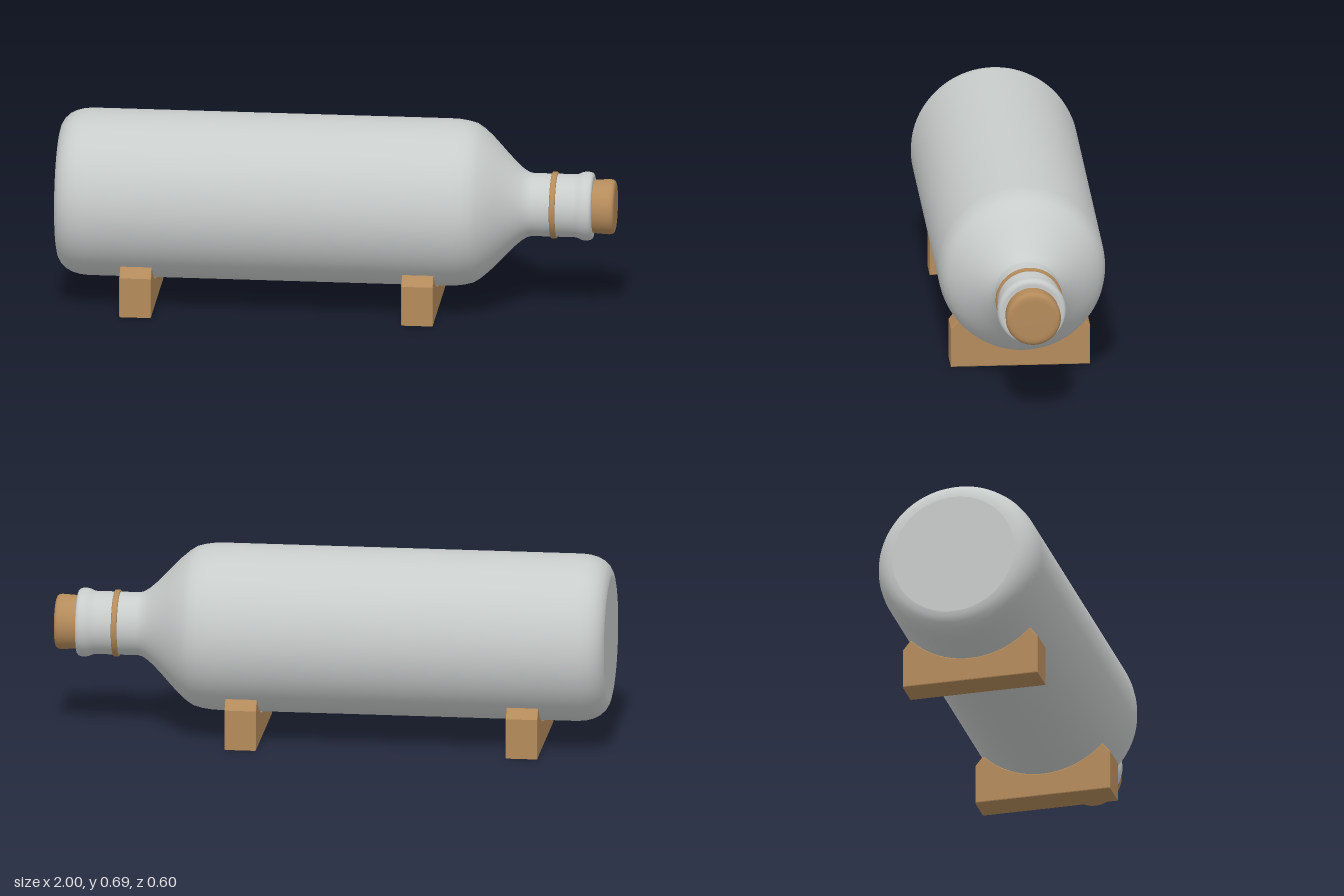
import * as THREE from 'three';

const AXIS_Y = 0.39;

// Solid of revolution about the bottle axis; points are [x, radius].
// A repeated point gives a sharp edge.
function turned(name, points, material) {
  const profile = points.map(([x, r]) => new THREE.Vector2(r, x));
  const mesh = new THREE.Mesh(new THREE.LatheGeometry(profile, 96), material);
  mesh.rotation.z = -Math.PI / 2;
  mesh.position.y = AXIS_Y;
  mesh.name = name;
  return mesh;
}

// Wooden block with chamfered shoulders and a round hollow for the bottle
function cradle(name, x, material) {
  const hollow = 0.302, top = 0.18, width = 0.115, bevel = 0.004;
  const angle = Math.asin((top - AXIS_Y) / hollow);
  const shape = new THREE.Shape();
  shape.moveTo(-0.25, 0);
  shape.lineTo(0.25, 0);
  shape.lineTo(0.25, 0.146);
  shape.lineTo(0.223, top);
  shape.absarc(0, AXIS_Y, hollow, angle, -Math.PI - angle, true);
  shape.lineTo(-0.223, top);
  shape.lineTo(-0.25, 0.146);
  shape.closePath();
  const geometry = new THREE.ExtrudeGeometry(shape, {
    depth: width - 2 * bevel, curveSegments: 32,
    bevelSize: bevel, bevelThickness: bevel, bevelOffset: -bevel, bevelSegments: 2,
  });
  geometry.translate(0, 0, bevel - width / 2);
  geometry.rotateY(Math.PI / 2);
  const mesh = new THREE.Mesh(geometry, material);
  mesh.position.x = x;
  mesh.name = name;
  return mesh;
}

export function createModel() {
  const glass = new THREE.MeshStandardMaterial({ name: 'pale grey glass', color: 0xc8cccb });
  const wood = new THREE.MeshStandardMaterial({ name: 'cork and wood', color: 0xb58b5b });
  const model = new THREE.Group();
  model.name = 'bottleOnCradles';

  // Bottle: flat base, rounded heel, straight body, shoulder, neck and lip
  model.add(turned('bottle', [
    [-1, 0], [-1, 0.225], [-1, 0.225], [-0.996, 0.243], [-0.985, 0.262], [-0.967, 0.279],
    [-0.945, 0.29], [-0.92, 0.297], [-0.89, 0.3],
    [0.4, 0.3], [0.43, 0.299], [0.465, 0.294], [0.495, 0.286], [0.52, 0.27], [0.55, 0.244],
    [0.58, 0.213], [0.61, 0.181], [0.64, 0.151], [0.665, 0.129], [0.685, 0.117], [0.7, 0.113],
    [0.855, 0.113], [0.865, 0.115], [0.878, 0.121], [0.888, 0.123], [0.905, 0.123],
    [0.914, 0.12], [0.919, 0.115], [0.92, 0.108], [0.92, 0.108], [0.92, 0],
  ], glass));

  // Thin band around the neck
  model.add(turned('neckBand', [
    [0.769, 0.11], [0.769, 0.117], [0.772, 0.12], [0.787, 0.12], [0.79, 0.117], [0.79, 0.11],
  ], wood));

  // Stopper with softly rounded end
  model.add(turned('cork', [
    [0.915, 0.094], [0.925, 0.096], [0.96, 0.098], [0.98, 0.099], [0.99, 0.097],
    [0.996, 0.092], [0.999, 0.083], [1, 0.07], [1, 0],
  ], wood));

  // Two supports
  model.add(cradle('rearCradle', -0.706, wood));
  model.add(cradle('neckCradle', 0.308, wood));
  return model;
}
